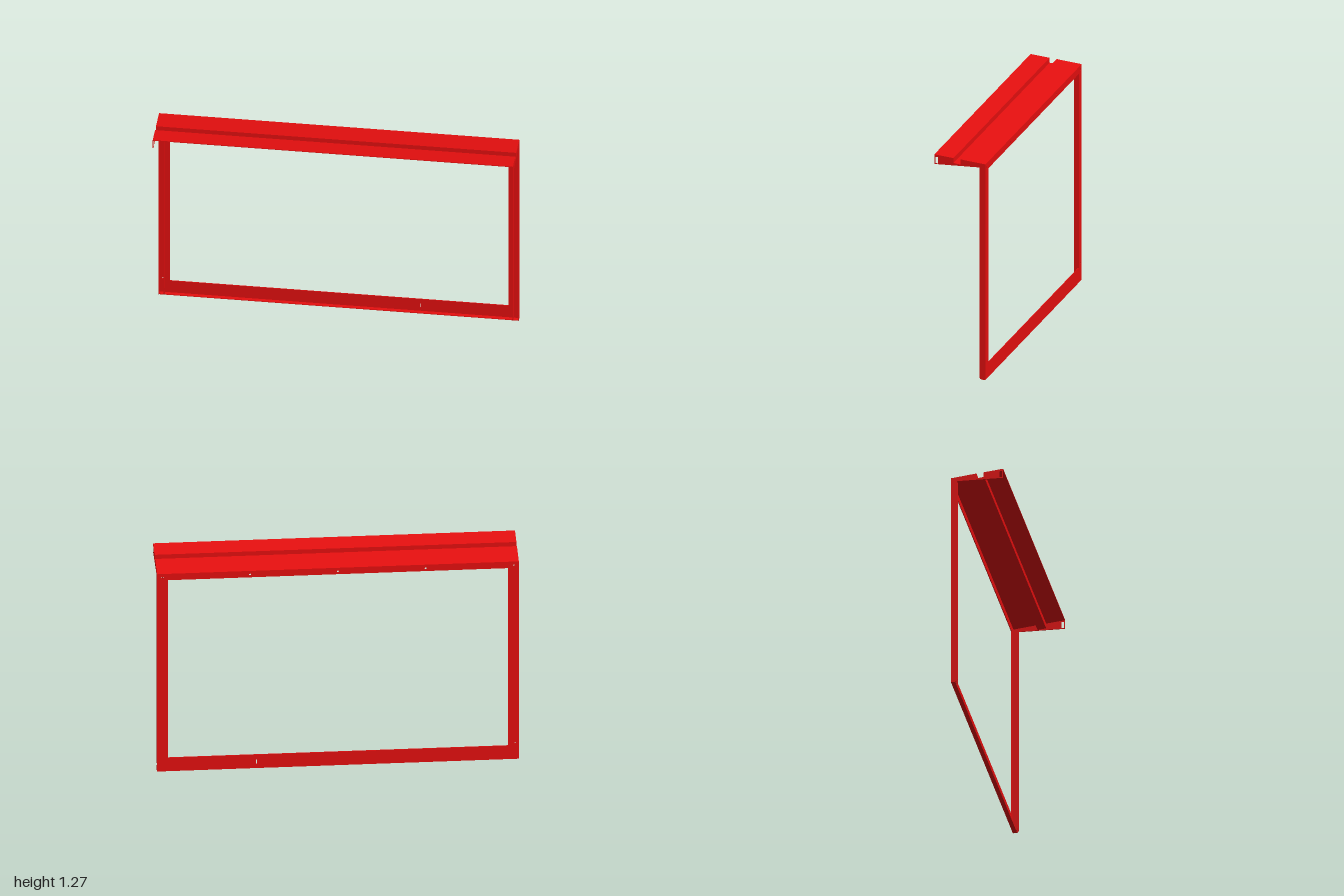
import * as THREE from 'three';

const T = 0.004; // sheet thickness
const BACK = -0.146;

function toPath(points, PathClass = THREE.Path) {
  return new PathClass(points.map(([a, b]) => new THREE.Vector2(a, b)));
}

function rect(x0, y0, x1, y1) {
  return [[x0, y0], [x1, y0], [x1, y1], [x0, y1]];
}

function circle(x, y, r, n = 12) {
  return Array.from({ length: n }, (_, i) => {
    const a = (i / n) * Math.PI * 2;
    return [x + r * Math.cos(a), y + r * Math.sin(a)];
  });
}

function extrude(points, holes, depth) {
  const shape = toPath(points, THREE.Shape);
  holes.forEach((h) => shape.holes.push(toPath(h)));
  return new THREE.ExtrudeGeometry(shape, { depth, bevelEnabled: false });
}

// Extrudes an outline given as [z, y] along x, starting at x0
function extrudeAlongX(points, holes, x0, width) {
  const flip = (list) => list.map(([z, y]) => [-z, y]);
  return extrude(flip(points), holes.map(flip), width)
    .rotateY(Math.PI / 2)
    .translate(x0, 0, 0);
}

export function createModel() {
  const group = new THREE.Group();
  group.name = 'sheetMetalFrame';
  const material = new THREE.MeshStandardMaterial({ color: 0xe60f0f });
  const add = (name, geometry) => {
    const mesh = new THREE.Mesh(geometry, material);
    mesh.name = name;
    group.add(mesh);
  };

  // Back face with its window and a row of screw holes
  const screws = [-0.97, -0.485, 0, 0.485, 0.97].map((x) => circle(x, 1.217, 0.006));
  const slot = rect(0.448, 0.025, 0.452, 0.055);
  const pin = circle(-0.98, 0.1, 0.004);
  add('backFrame', extrude(
    rect(-1, 0, 1, 1.237),
    [rect(-0.94, 0.085, 0.94, 1.2), ...screws, slot, pin], T,
  ).translate(0, 0, BACK));

  // Bottom lip folded forward
  const lip = new THREE.BoxGeometry(2 - 2 * T, T, 0.024);
  add('bottomLip', lip.translate(0, T / 2, BACK + 0.012));

  // Folded canopy sheet with a groove along its length
  add('canopySheet', extrudeAlongX([
    [BACK, 1.24], [-0.003, 1.258], [-0.003, 1.228], [0.037, 1.234],
    [0.037, 1.262], [0.146, 1.275], [0.146, 1.271], [0.041, 1.2585],
    [0.041, 1.23], [-0.007, 1.223], [-0.007, 1.2535], [BACK, 1.236],
  ], [], -1, 2));

  // Upright flange with a clipped foot and a fixing hole
  const flange = [
    [BACK, 0], [-0.124, 0], [-0.116, 0.004], [-0.111, 0.014],
    [-0.111, 1.222], [BACK, 1.222],
  ];
  const fixing = circle(-0.126, 0.037, 0.006);

  // Canopy end plate with the groove notch and a front slot
  const endPlate = [
    [BACK, 1.22], [0.146, 1.22], [0.146, 1.274], [0.037, 1.261],
    [0.037, 1.233], [-0.003, 1.227], [-0.003, 1.257], [BACK, 1.239],
  ];
  const endSlot = rect(0.126, 1.225, 0.14, 1.261);

  for (const [side, sign] of [['left', 1], ['right', -1]]) {
    const start = (x) => (sign > 0 ? x - T : -x);
    add(`${side}OuterFlange`, extrudeAlongX(flange, [fixing], start(1), T));
    add(`${side}InnerFlange`, extrudeAlongX(flange, [fixing], start(0.97), T));
    add(`${side}CanopyEnd`, extrudeAlongX(endPlate, [endSlot], start(1), T));
  }
  return group;
}
